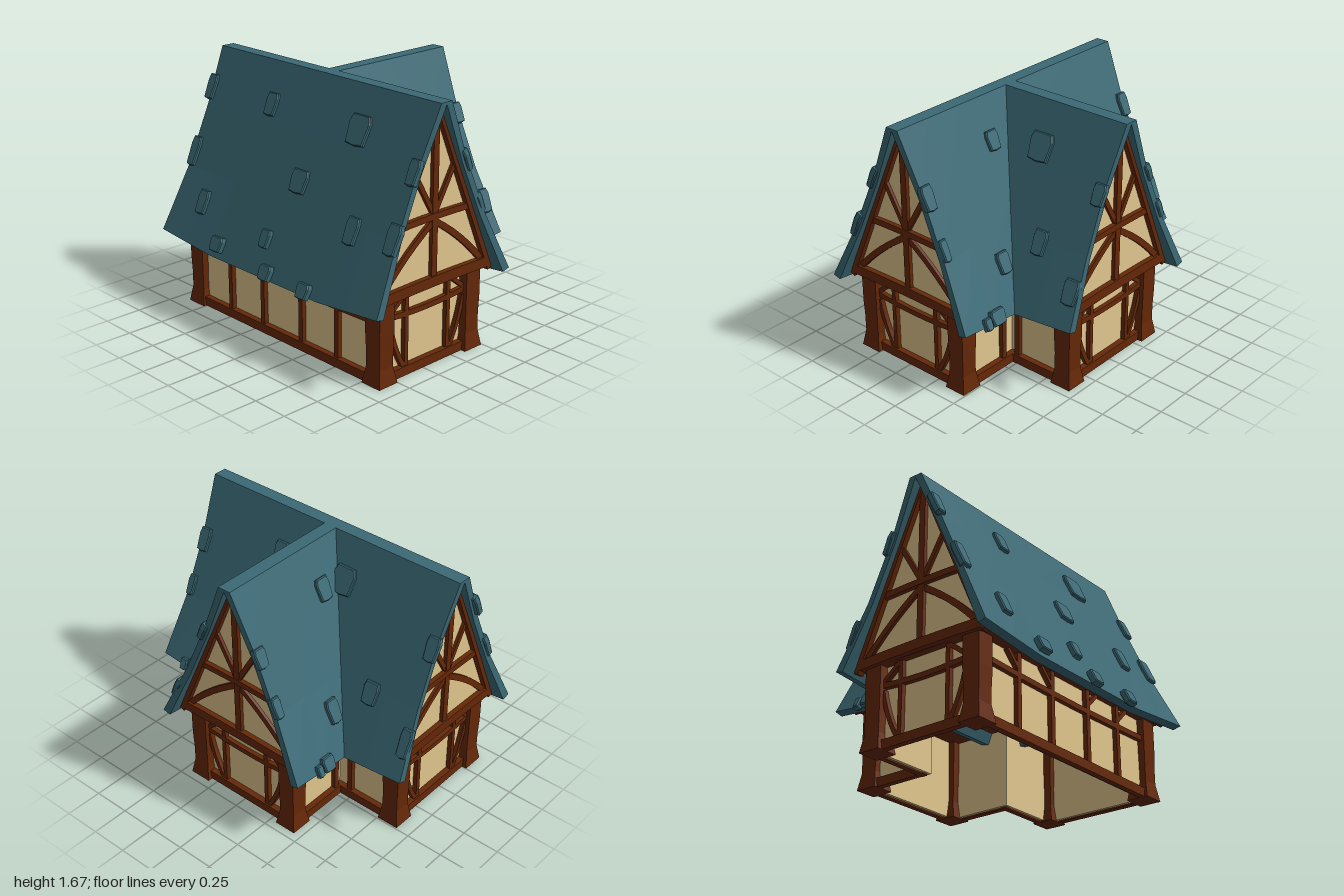
import * as THREE from 'three';

const mat = (name, color) => {
  const m = new THREE.MeshStandardMaterial({ color });
  m.name = name;
  return m;
};
const slate = mat('blue slate', 0x3b6975);
const plaster = mat('cream plaster', 0xe2c78e);
const timber = mat('brown timber', 0x652808);

function add(parent, name, geo, material, x = 0, y = 0, z = 0) {
  const m = new THREE.Mesh(geo, material);
  m.name = name;
  m.position.set(x, y, z);
  parent.add(m);
  return m;
}

function subGroup(parent, name, x, z, angle) {
  const g = new THREE.Group();
  g.name = name;
  g.position.set(x, 0, z);
  g.rotation.y = angle;
  parent.add(g);
  return g;
}

// Flat timber from a to b on a wall plane; bow pushes its middle sideways
function beam(parent, name, [ax, ay], [bx, by], w, bow = 0, depth = 0.03) {
  const a = new THREE.Vector2(ax, ay), b = new THREE.Vector2(bx, by);
  const d = b.clone().sub(a).normalize();
  const n = new THREE.Vector2(-d.y, d.x);
  const mid = a.clone().add(b).multiplyScalar(0.5).addScaledVector(n, bow * 2);
  const curve = new THREE.QuadraticBezierCurve(a, mid, b);
  const steps = bow ? 6 : 1, left = [], right = [];
  for (let i = 0; i <= steps; i++) {
    const p = curve.getPoint(i / steps), t = curve.getTangent(i / steps);
    const off = new THREE.Vector2(-t.y, t.x).multiplyScalar(w / 2);
    left.push(p.clone().add(off));
    right.push(p.clone().sub(off));
  }
  const shape = new THREE.Shape([...right, ...left.reverse()]);
  return add(parent, name, new THREE.ExtrudeGeometry(shape, { depth, bevelEnabled: false }), timber);
}

// Roof cross-section, right half from eave to ridge: outer, inner, end overhang
const OUTER = [[0.57, 0.515], [0.37, 0.925], [0.2, 1.31], [0.045, 1.67]];
const INNER = [0.515, 0.335, 0.17, 0.001].map(u => [u, 1.655 - 2.24 * u]);
const REACH = [1, 0.957, 0.95, 0.975];

function roofGeometry(stations) {
  const pos = [], idx = [], n = 8;
  const vertex = (profile, i, s) => {
    const k = i < 4 ? i : 7 - i, sign = i < 4 ? -1 : 1;
    const sag = k === 0 ? 0.045 * Math.min(1, (1 - Math.abs(s)) / 0.5) : 0;
    pos.push(sign * profile[k][0], profile[k][1] - sag, s * REACH[k]);
  };
  for (const s of stations) {
    for (let i = 0; i < n; i++) vertex(OUTER, i, s);
    for (let i = n - 1; i >= 0; i--) vertex(INNER, i, s);
  }
  const quad = (a, b, c, d) => idx.push(a, b, c, a, c, d);
  const ring = 2 * n, last = (stations.length - 1) * ring;
  for (let k = 0; k < last; k += ring) {
    for (let j = 0; j < ring; j++) {
      const j2 = (j + 1) % ring;
      quad(k + j, k + ring + j, k + ring + j2, k + j2);
    }
  }
  for (let i = 0; i < n - 1; i++) {
    const o = i, o2 = i + 1, p = ring - 1 - i, p2 = ring - 2 - i;
    quad(last + o, last + p, last + p2, last + o2);
    quad(o, o2, p2, p);
  }
  const g = new THREE.BufferGeometry();
  g.setAttribute('position', new THREE.Float32BufferAttribute(pos, 3));
  g.setIndex(idx);
  const flat = g.toNonIndexed();
  flat.computeVertexNormals();
  return flat;
}

// Raised slate lying on a slope at distance u from the ridge, z along it
function slateTile(parent, u, z, w, h) {
  const side = Math.sign(u), a = Math.abs(u);
  let k = 0;
  while (k < 2 && a < OUTER[k + 1][0]) k++;
  const [u0, y0] = OUTER[k], [u1, y1] = OUTER[k + 1];
  const y = y0 + (y1 - y0) * (a - u0) / (u1 - u0);
  const shape = new THREE.Shape([
    [-0.42, -0.45], [0, -0.5], [0.42, -0.45], [0.5, 0.25], [0.4, 0.5], [-0.4, 0.5], [-0.5, 0.25],
  ].map(([px, py]) => new THREE.Vector2(px * w, py * h)));
  const geo = new THREE.ExtrudeGeometry(shape, {
    depth: 0.03, bevelEnabled: true, bevelSize: 0.006, bevelThickness: 0.008, bevelSegments: 1, bevelOffset: -0.006,
  });
  const m = add(parent, 'slateTile', geo, slate);
  const up = new THREE.Vector3(-side * 0.413, 0.911, 0), out = new THREE.Vector3(side * 0.911, 0.413, 0);
  m.quaternion.setFromRotationMatrix(new THREE.Matrix4().makeBasis(new THREE.Vector3(0, 0, -side), up, out));
  m.position.set(side * a, y, z).addScaledVector(out, -0.015);
}

// Timber framing of a gable end, drawn facing +z
function gableEnd(block, angle) {
  const end = subGroup(block, 'gableEnd', 0, 0, angle);
  const wall = subGroup(end, 'lowerWallFrame', 0, 0.83, 0);
  const top = subGroup(end, 'gableFrame', 0, 0.87, 0);
  beam(wall, 'sill', [-0.32, 0.03], [0.32, 0.03], 0.06, 0, 0.04);
  beam(wall, 'rail', [-0.32, 0.405], [0.32, 0.405], 0.035, -0.015);
  beam(top, 'tieBeam', [-0.46, 0.557], [0.46, 0.557], 0.065, 0.008, 0.045);
  beam(top, 'collarBeam', [-0.285, 0.965], [0.285, 0.965], 0.04, 0.006, 0.04);
  beam(top, 'kingPost', [0, 0.56], [0, 1.655], 0.045, 0, 0.035);
  for (const s of [-1, 1]) {
    beam(wall, 'stud', [s * 0.18, 0.04], [s * 0.18, 0.53], 0.03);
    beam(wall, 'footBrace', [s * 0.315, 0.37], [s * 0.2, 0.06], 0.03, s * 0.015);
    beam(wall, 'headBrace', [s * 0.315, 0.425], [s * 0.19, 0.525], 0.028);
    beam(top, 'bargeBoard', [s * 0.49, 0.51], [0, 1.65], 0.038, 0, 0.045);
    beam(top, 'upperBrace', [0, 0.975], [s * 0.165, 1.255], 0.032);
    beam(top, 'archedBrace', [0, 0.94], [s * 0.42, 0.59], 0.04, s * 0.02);
    // Corner post with a flared foot
    const post = new THREE.BoxGeometry(0.12, 0.55, 0.12, 1, 5, 1);
    const p = post.attributes.position;
    for (let i = 0; i < p.count; i++) {
      const y = p.getY(i) + 0.275;
      const f = y < 0.05 ? 1.25 : y < 0.3 ? 0.94 : 1;
      p.setXYZ(i, p.getX(i) * f, y, p.getZ(i) * f);
    }
    add(end, 'cornerPost', post.toNonIndexed(), timber, s * 0.372, 0, 0.828).geometry.computeVertexNormals();
  }
}

// Framing of a long wall on side -1 or 1, over a stretch of z
function sideWall(block, side, z0, z1, studs) {
  const g = subGroup(block, 'sideWallFrame', side * 0.385, 0, side * Math.PI / 2);
  const f = -side;
  const [a, b] = [f * z0, f * z1].sort((p, q) => p - q);
  beam(g, 'sill', [a, 0.03], [b, 0.03], 0.06, 0, 0.04);
  beam(g, 'rail', [a, 0.4], [b, 0.4], 0.035, -0.012);
  for (const z of studs) {
    beam(g, 'stud', [f * z, 0.04], [f * z, 0.53], 0.035);
    beam(g, 'headBrace', [f * z, 0.43], [f * (z + Math.sign(z) * 0.1), 0.53], 0.025);
  }
}

// One house block: soffit, gable, roof and gable ends along local z
function block(parent, name, x, angle, z0, stations, ends) {
  const g = subGroup(parent, name, x, 0, angle);
  const length = 0.885 - z0;
  add(g, 'soffit', new THREE.BoxGeometry(0.95, 0.03, length), timber, 0, 0.545, z0 + length / 2);
  const tri = new THREE.Shape([[-0.475, 0.55], [0.475, 0.55], [0, 1.63]].map(p => new THREE.Vector2(...p)));
  add(g, 'gablePlaster', new THREE.ExtrudeGeometry(tri, { depth: length - 0.005, bevelEnabled: false }), plaster, 0, 0, z0);
  add(g, 'roof', roofGeometry(stations), slate);
  ends.forEach(e => gableEnd(g, e));
  return g;
}

// Thin plaster walls around the T-shaped plan, open underneath
function plasterWalls(parent) {
  const half = [[-0.58, 0.82], [0.17, 0.82], [0.17, 0.375], [0.615, 0.375]];
  const plan = [...half, ...half.map(([x, z]) => [x, -z]).reverse()];
  plan.forEach(([x0, z0], i) => {
    const [x1, z1] = plan[(i + 1) % plan.length];
    const geo = new THREE.BoxGeometry(Math.abs(x1 - x0) + 0.02, 0.54, Math.abs(z1 - z0) + 0.02);
    add(parent, 'plasterWall', geo, plaster, (x0 + x1) / 2, 0.28, (z0 + z1) / 2);
  });
}

export function createModel() {
  const house = new THREE.Group();
  house.name = 'cottage';
  const main = block(house, 'mainHouse', -0.205, 0, -0.88, [-1, -0.75, -0.5, 0, 0.5, 0.75, 1], [0, Math.PI]);
  const wing = block(house, 'crossWing', -0.205, Math.PI / 2, 0.045, [0.045, 0.5, 0.75, 1], [0]);
  plasterWalls(house);
  sideWall(main, -1, -0.77, 0.77, [-0.5, -0.18, 0.18, 0.5]);
  for (const s of [-1, 1]) {
    sideWall(main, 1, s * 0.38, s * 0.77, [s * 0.49]);
    sideWall(wing, s, 0.38, 0.77, [0.45]);
  }
  // Loose slates: distance from ridge, position along it, width, height
  const mainTiles = [
    [-0.455, -0.7, 0.09, 0.16], [-0.155, -0.35, 0.1, 0.15], [-0.315, 0.08, 0.14, 0.15], [-0.155, 0.43, 0.17, 0.19],
    [-0.385, 0.61, 0.1, 0.17], [-0.485, -0.05, 0.08, 0.12], [-0.55, -0.45, 0.11, 0.1], [-0.57, 0.04, 0.1, 0.1],
    [-0.575, 0.39, 0.1, 0.1], [-0.33, -0.93, 0.08, 0.2], [-0.155, -0.95, 0.08, 0.17], [-0.37, 0.93, 0.1, 0.19],
    [-0.21, 0.93, 0.08, 0.16], [0.385, -0.62, 0.11, 0.15], [0.215, -0.93, 0.09, 0.16], [0.465, -0.95, 0.08, 0.19],
    [0.155, 0.3, 0.1, 0.13], [0.445, 0.53, 0.1, 0.14], [0.565, 0.72, 0.12, 0.1], [0.57, 0.81, 0.06, 0.08],
    [0.215, 0.92, 0.09, 0.16], [0.345, 0.93, 0.06, 0.14], [0.155, -0.21, 0.16, 0.18],
  ];
  const wingTiles = [
    [-0.16, 0.43, 0.17, 0.18], [-0.38, 0.61, 0.1, 0.16], [-0.47, 0.925, 0.11, 0.16], [-0.22, 0.925, 0.09, 0.14],
    [0.45, 0.54, 0.1, 0.16], [0.16, 0.3, 0.11, 0.15], [0.22, 0.925, 0.09, 0.13], [0.35, 0.935, 0.07, 0.14],
    [0.565, 0.72, 0.1, 0.1], [0.57, 0.8, 0.05, 0.08],
  ];
  mainTiles.forEach(t => slateTile(main, ...t));
  wingTiles.forEach(t => slateTile(wing, ...t));
  return house;
}
